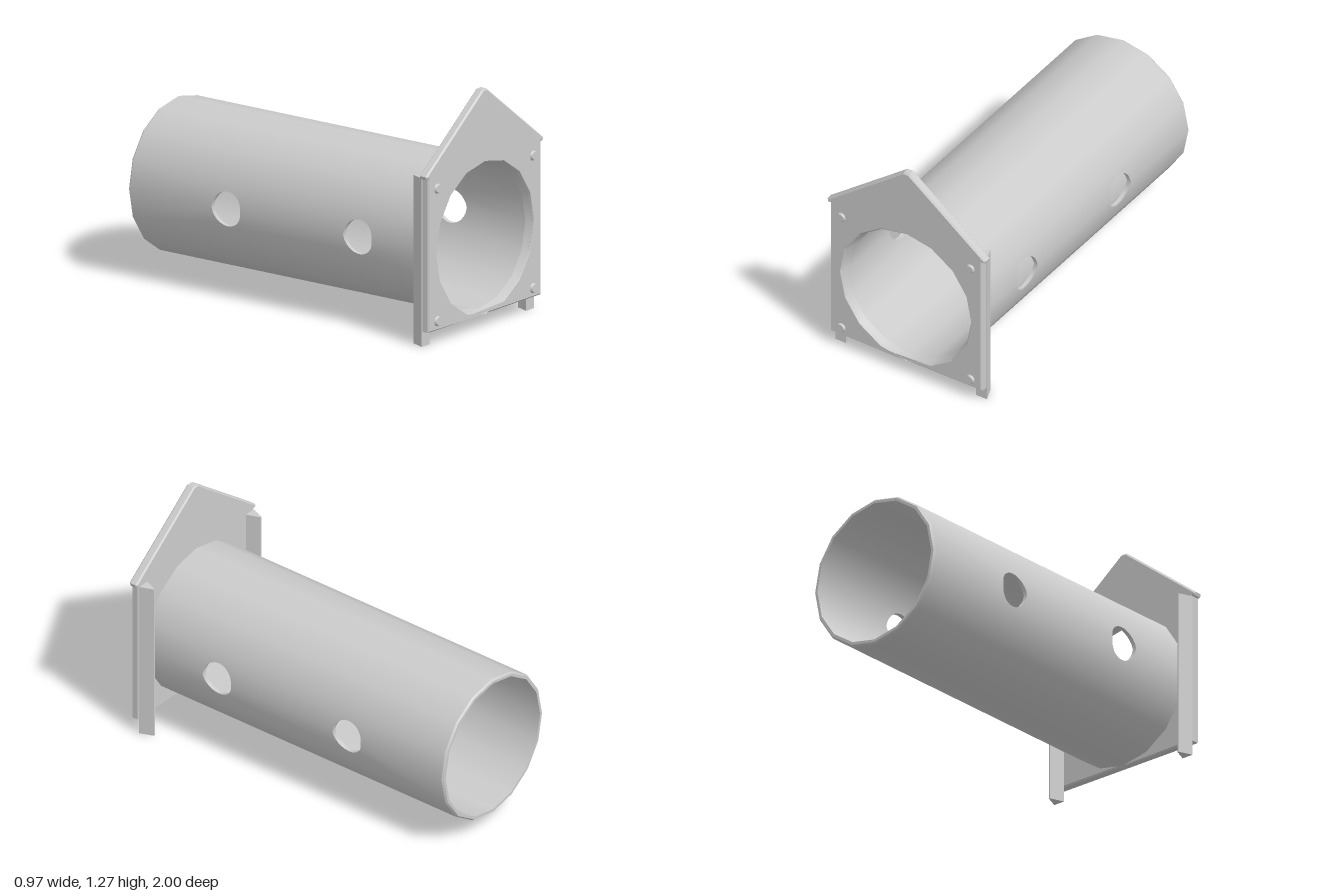
import * as THREE from 'three';

const SIDES = 16, CY = 0.485, R_OUT = 0.405, R_IN = 0.382;
const HOLE_R = 0.092, HOLES_Z = [-0.37, 0.48];
const Z_BACK = -1, Z_FRONT = 0.95;
const STEP = (2 * Math.PI) / SIDES;
const SLOPE = Math.tan(STEP / 2);

const grey = new THREE.MeshStandardMaterial({ color: 0xcccccc });
const thin = new THREE.MeshStandardMaterial({ color: 0xcccccc, side: THREE.DoubleSide });

function add(parent, name, geometry, material = grey) {
  const mesh = new THREE.Mesh(geometry, material);
  mesh.name = name;
  parent.add(mesh);
  return mesh;
}

// Straight band swept round the tube axis; points are [radius, z]
function band(a, b, first = 0, count = SIDES) {
  const points = [new THREE.Vector2(...a), new THREE.Vector2(...b)];
  return new THREE.LatheGeometry(points, count, first * STEP, count * STEP).rotateX(Math.PI / 2);
}

// One facet next to the tube's side corner, with half-round notches
function notchedFacet(r, z0, z1, side, half, outward) {
  const h = r * Math.sin(STEP);
  const shape = new THREE.Shape();
  shape.moveTo(z0, 0);
  for (const z of HOLES_Z) {
    shape.lineTo(z - HOLE_R, 0);
    shape.absarc(z, 0, HOLE_R, Math.PI, 0, true);
  }
  shape.lineTo(z1, 0);
  shape.lineTo(z1, h);
  shape.lineTo(z0, h);
  const geometry = new THREE.ShapeGeometry(shape, 6);
  const p = geometry.attributes.position, n = geometry.attributes.normal;
  for (let i = 0; i < p.count; i++) {
    const z = p.getX(i), v = p.getY(i);
    const x = side * (r - v * SLOPE), y = half * v;
    const len = outward * Math.hypot(x, y);
    p.setXYZ(i, x, y, z);
    n.setXYZ(i, x / len, y / len, 0);
  }
  if (side * half * outward > 0) geometry.index.array.reverse();
  return geometry;
}

// Wall of a round side opening, trimmed to the tube's faces
function openingWall(side, z) {
  const geometry = new THREE.CylinderGeometry(HOLE_R, HOLE_R, 1, 24, 1, true).rotateZ(-Math.PI / 2);
  const p = geometry.attributes.position;
  for (let i = 0; i < p.count; i++) {
    p.setX(i, (p.getX(i) > 0 ? R_OUT : R_IN) - Math.abs(p.getY(i)) * SLOPE);
  }
  if (side < 0) geometry.rotateY(Math.PI);
  return geometry.translate(0, 0, z);
}

function createTube() {
  const tube = new THREE.Group();
  tube.name = 'tube';
  tube.position.y = CY;
  const outerBack = Z_BACK + 0.01;

  // Plain upper and lower walls
  for (const [name, first] of [['upper', 5], ['lower', 13]]) {
    add(tube, name + 'OuterWall', band([R_OUT, outerBack], [R_OUT, Z_FRONT], first, 6));
    add(tube, name + 'InnerWall', band([R_IN, Z_FRONT], [R_IN, Z_BACK], first, 6));
  }
  // Side walls with openings
  for (const side of [-1, 1]) {
    for (const half of [-1, 1]) {
      add(tube, 'sideOuterWall', notchedFacet(R_OUT, outerBack, Z_FRONT, side, half, 1));
      add(tube, 'sideInnerWall', notchedFacet(R_IN, Z_BACK, Z_FRONT, side, half, -1));
    }
    for (const z of HOLES_Z) add(tube, 'openingWall', openingWall(side, z), thin);
  }
  // Back rim and flared front entrance
  add(tube, 'backRim', band([R_IN, Z_BACK], [R_OUT - 0.008, Z_BACK]));
  add(tube, 'backRimBevel', band([R_OUT - 0.008, Z_BACK], [R_OUT, outerBack]));
  add(tube, 'entranceFlare', band([0.399, 0.991], [R_IN, 0.935]));
  return tube;
}

function createPlate() {
  const bevel = 0.008;
  const right = [[0.457, 0.088], [0.457, 0.898], [0.474, 0.898], [0.476, 0.905], [0.014, 1.26]];
  const left = right.map(([x, y]) => [-x, y]).reverse();
  const shape = new THREE.Shape([...right, ...left].map(([x, y]) => new THREE.Vector2(x, y)));
  const hole = [];
  for (let i = 0; i < SIDES; i++) {
    hole.push(new THREE.Vector2(0.404 * Math.sin(i * STEP), CY + 0.404 * Math.cos(i * STEP)));
  }
  shape.holes.push(new THREE.Path(hole));
  const geometry = new THREE.ExtrudeGeometry(shape, {
    depth: 0.034, bevelEnabled: true, bevelSize: bevel, bevelThickness: bevel, bevelSegments: 1,
  });
  return geometry.translate(0, 0, 0.948);
}

// Upright prism that tapers to a narrow ridge behind the plate
function createLeg() {
  const outline = [[-0.033, -0.942], [0.033, -0.942], [0.004, -0.867], [-0.004, -0.867]];
  const shape = new THREE.Shape(outline.map(([x, y]) => new THREE.Vector2(x, y)));
  return new THREE.ExtrudeGeometry(shape, { depth: 0.89, bevelEnabled: false }).rotateX(-Math.PI / 2);
}

export function createModel() {
  const model = new THREE.Group();
  model.name = 'tunnelWithHouseFront';
  model.add(createTube());
  add(model, 'housePlate', createPlate());

  const stud = new THREE.CylinderGeometry(0.02, 0.028, 0.012, 16).rotateX(Math.PI / 2);
  for (const side of [-1, 1]) {
    add(model, side > 0 ? 'leftLeg' : 'rightLeg', createLeg()).position.x = side * 0.431;
    for (const y of [0.13, 0.83]) {
      add(model, 'stud', stud).position.set(side * 0.395, y, 0.994);
    }
  }
  return model;
}
